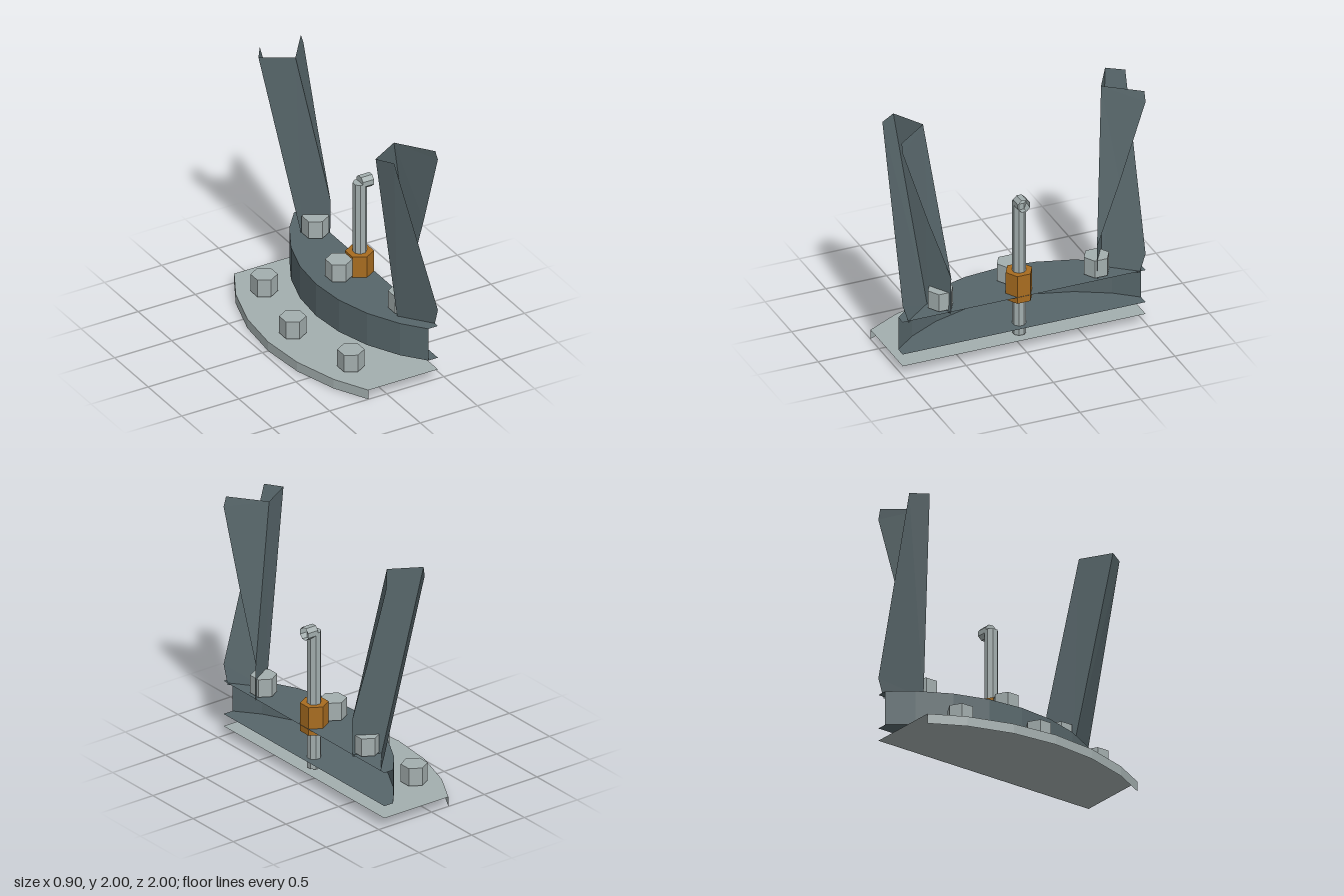
import * as THREE from 'three';

const paint = (color) => new THREE.MeshStandardMaterial({ color, flatShading: true, side: THREE.DoubleSide });
const EDGE = 0.448;      // straight side where the section is cut
const AXIS = 1.453;      // x of the vertical axis the curved parts share

// Fan-filled flat polygons joined into one geometry
function panels(polygons) {
  const pos = [];
  for (const p of polygons)
    for (let i = 1; i < p.length - 1; i++) pos.push(...p[0], ...p[i], ...p[i + 1]);
  const g = new THREE.BufferGeometry();
  g.setAttribute('position', new THREE.Float32BufferAttribute(pos, 3));
  g.computeVertexNormals();
  return g;
}

// Faceted arc [x, z] round the axis, cut off at z = -1 and z = 1
function arc(radius) {
  const half = [];
  for (let i = 0; i < 8; i++) {
    const a = (i * Math.PI) / 16;
    const p = [AXIS - radius * Math.cos(a), radius * Math.sin(a)];
    if (p[1] < 1) { half.push(p); continue; }
    const q = half[half.length - 1];
    const t = (1 - q[1]) / (p[1] - q[1]);
    half.push([q[0] + t * (p[0] - q[0]), 1]);
    break;
  }
  return [...half.slice(1).reverse().map(([x, z]) => [x, -z]), ...half];
}

// Curved wall from y0 to y1 with flat sheets at the given heights, open at the cut sides
function curvedSection(radius, y0, y1, sheets) {
  const pts = arc(radius);
  const outline = [...pts, [EDGE, 1], [EDGE, -1]];
  const polys = sheets.map((y) => {
    const sheet = outline.map(([x, z]) => [x, y, z]);
    return y === y0 ? sheet.reverse() : sheet;
  });
  for (let i = 0; i < pts.length - 1; i++) {
    const [[ax, az], [bx, bz]] = [pts[i], pts[i + 1]];
    polys.push([[ax, y0, az], [bx, y0, bz], [bx, y1, bz], [ax, y1, az]]);
  }
  return panels(polys);
}

export function createModel() {
  const model = new THREE.Group();
  const dark = paint(0x57666a), pale = paint(0xa3aeae), brass = paint(0xa86c20);

  const add = (name, geometry, material, x = 0, y = 0, z = 0) => {
    const mesh = new THREE.Mesh(geometry, material);
    mesh.name = name;
    mesh.position.set(x, y, z);
    model.add(mesh);
    return mesh;
  };

  // Plate is a top sheet with a rim; the ring has sheets above and below
  add('basePlate', curvedSection(1.903, 0, 0.08, [0.08]), pale);
  add('ringChannel', curvedSection(1.483, 0.182, 0.46, [0.182, 0.46]), dark);

  // Hex bolts on the plate and on the ring
  const bolt = new THREE.CylinderGeometry(0.103, 0.103, 0.147, 6);
  for (const [name, radius, angle, y] of [['plateBolt', 1.687, 22.5, 0.168], ['ringBolt', 1.284, 30, 0.547]])
    for (const side of [-1, 0, 1]) {
      const a = THREE.MathUtils.degToRad(angle * side);
      add(name, bolt, pale, AXIS - radius * Math.cos(a), y, radius * Math.sin(a));
    }

  // Threaded rod with its nut and bent end, the bend cut open at the section edge
  const rod = (length, open) =>
    new THREE.CylinderGeometry(0.054, 0.054, length, 8, 1, open).rotateY(Math.PI / 8);
  add('nut', new THREE.CylinderGeometry(0.109, 0.109, 0.235, 6), brass, 0.35, 0.5225, 0);
  add('rod', rod(1.14, false), pale, 0.352, 0.67, 0);
  add('rodHook', rod(EDGE - 0.352, true).rotateZ(Math.PI / 2), pale, (EDGE + 0.352) / 2, 1.24, 0);
  add('rodHookEnd', new THREE.CircleGeometry(0.054, 8).rotateZ(Math.PI / 8).rotateY(-Math.PI / 2), pale, 0.352, 1.24, 0);

  // Flaring channel legs: web and two flanges, cut at the section edges
  for (const s of [1, -1]) {
    const web = [[0.26, 0.445, 0.715], [EDGE, 0.445, 0.603], [EDGE, 0.75, 0.6], [0.22, 2, 0.733], [-0.022, 2, 0.872]];
    const outerFlange = [[0.26, 0.445, 0.715], [EDGE, 0.445, 0.95], [EDGE, 0.6, 1], [0.065, 2, 1], [-0.022, 2, 0.872]];
    const innerFlange = [[0.22, 2, 0.733], [0.425, 2, 1], [EDGE, 1.92, 1], [EDGE, 1.27, 0.787], [EDGE, 0.75, 0.6]];
    const polys = [web, outerFlange, innerFlange].map((p) => p.map(([x, y, z]) => [x, y, s * z]));
    add(s > 0 ? 'frontLeg' : 'backLeg', panels(polys), dark);
  }

  return model;
}
